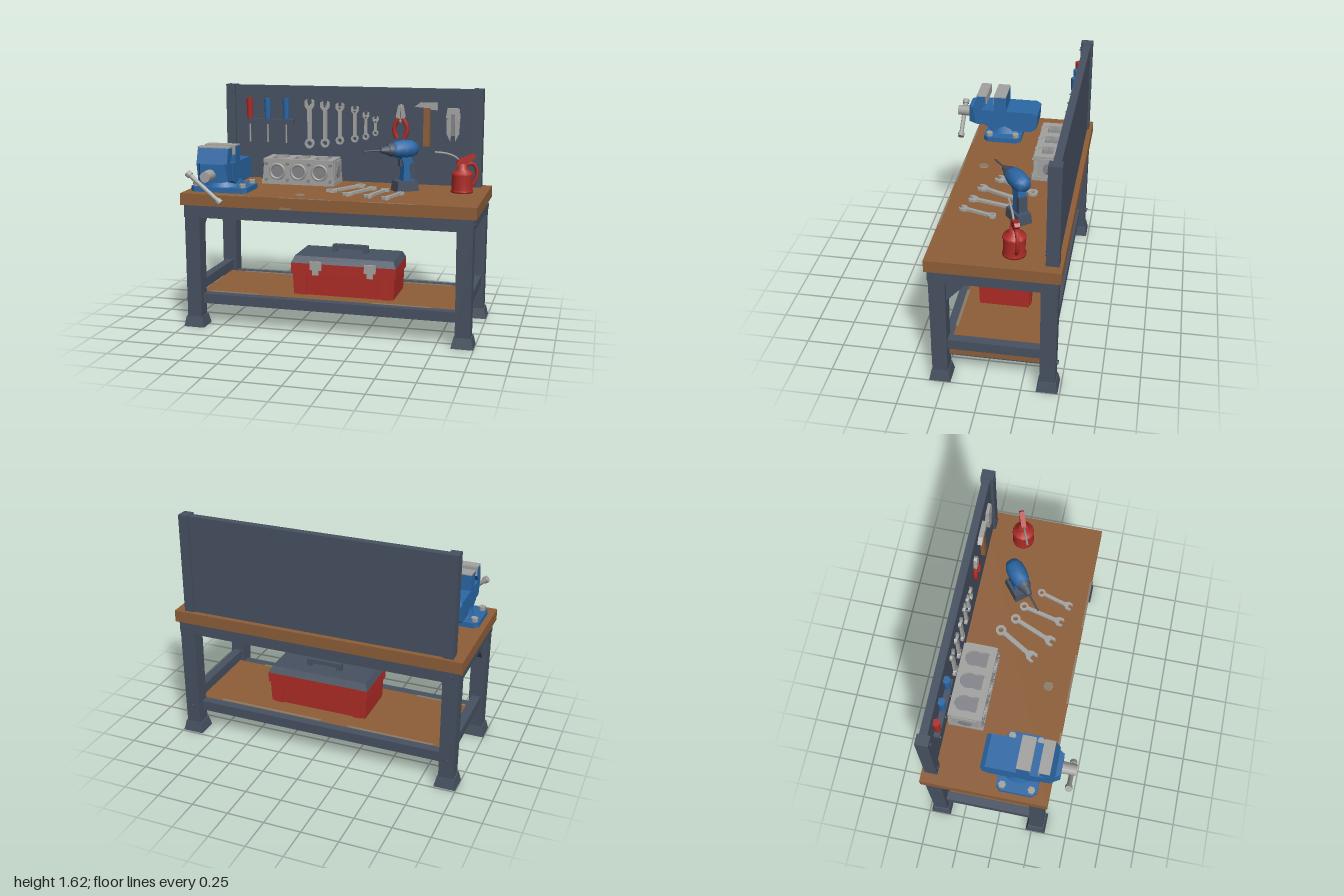
import * as THREE from 'three';

const mat = (name, color) => {
  const m = new THREE.MeshStandardMaterial({ color });
  m.name = name;
  return m;
};

export function createModel() {
  const slate = mat('slate', 0x475161), wood = mat('wood', 0x8e5e38), blue = mat('blue', 0x2b68a6),
    red = mat('red', 0xae2c26), steel = mat('steel', 0xa2a2a0), darkSteel = mat('dark steel', 0x83858a),
    stain = mat('worn wood', 0x8c7a64);
  const root = new THREE.Group();
  root.name = 'workbench';

  const sub = (name, x = 0, y = 0, z = 0, parent = root) => {
    const g = new THREE.Group();
    g.name = name;
    g.position.set(x, y, z);
    parent.add(g);
    return g;
  };
  const add = (p, name, geo, m, x = 0, y = 0, z = 0) => {
    const o = new THREE.Mesh(geo, m);
    o.name = name;
    o.position.set(x, y, z);
    p.add(o);
    return o;
  };
  // box given by its limits; the top can be scaled for a taper
  const box = (p, name, m, x0, x1, y0, y1, z0, z1, tx = 1, tz = tx) => {
    const g = new THREE.BoxGeometry(x1 - x0, y1 - y0, z1 - z0), a = g.attributes.position;
    for (let i = 0; i < a.count; i++) if (a.getY(i) > 0) a.setXYZ(i, a.getX(i) * tx, a.getY(i), a.getZ(i) * tz);
    g.computeVertexNormals();
    return add(p, name, g, m, (x0 + x1) / 2, (y0 + y1) / 2, (z0 + z1) / 2);
  };
  const poly = pts => new THREE.Shape(pts.map(q => new THREE.Vector2(q[0], q[1])));
  const extrude = (shape, depth) =>
    new THREE.ExtrudeGeometry(shape, { depth, bevelEnabled: false, curveSegments: 10 }).translate(0, 0, -depth / 2);
  // side profile in (z, y), extruded along x
  const extrudeX = (pts, w) => extrude(poly(pts), w).rotateY(-Math.PI / 2);
  const cyl = (r0, r1, h, n = 12) => new THREE.CylinderGeometry(r0, r1, h, n);
  const cylZ = (r0, r1, h, n = 12) => cyl(r0, r1, h, n).rotateX(Math.PI / 2);
  const circlePath = (x, y, r) => new THREE.Path().absarc(x, y, r, 0, Math.PI * 2, true);
  const tube = (pts, r, n = 10) =>
    new THREE.TubeGeometry(new THREE.CatmullRomCurve3(pts.map(q => new THREE.Vector3(...q))), n, r, 7);

  // bench: top, apron block, legs, shelf
  const bench = sub('bench');
  box(bench, 'benchTop', wood, -1, 1, 0.855, 0.935, -0.49, 0.35);
  box(bench, 'apron', slate, -0.98, 0.98, 0.77, 0.855, -0.472, 0.335);
  box(bench, 'shelf', wood, -0.91, 0.91, 0.165, 0.225, -0.37, 0.23);
  box(bench, 'shelfUnderside', slate, -0.91, 0.91, 0.158, 0.165, -0.38, 0.24);
  box(bench, 'frontRail', slate, -0.88, 0.88, 0.158, 0.226, 0.225, 0.285);
  box(bench, 'backRail', slate, -0.88, 0.88, 0.158, 0.226, -0.425, -0.365);
  // worn patches on the wood
  add(bench, 'wornPatch', cyl(0.033, 0.036, 0.004, 9), stain, -0.2, 0.936, 0.2);
  box(bench, 'wornFrontFace', stain, -0.3, -0.22, 0.858, 0.872, 0.349, 0.352);
  [[-0.75, -0.5], [-0.3, 0.05], [0.25, 0.6]].forEach(([a, b]) => box(bench, 'wornTopEdge', stain, a, b, 0.934, 0.937, 0.338, 0.351));
  [[-0.85, -0.5, 0.205], [0.3, 0.7, 0.21], [-0.8, -0.2, -0.365], [0, 0.75, -0.36]].forEach(([a, b, z]) =>
    box(bench, 'wornShelfEdge', stain, a, b, 0.224, 0.228, z, z + 0.02));
  for (const s of [-1, 1]) {
    const x = s * 0.925;
    box(bench, 'sideRail', slate, x - 0.03, x + 0.03, 0.24, 0.31, -0.38, 0.24);
    add(bench, 'gusset', extrudeX([[0.24, 0.775], [0.08, 0.775], [0.24, 0.6]], 0.05), slate, x, 0, 0);
    for (const z of [0.278, -0.417]) {
      const f = Math.sign(z);
      box(bench, 'leg', slate, x - 0.05, x + 0.05, 0.05, 0.85, z - 0.05, z + 0.05, 1.06);
      box(bench, 'foot', slate, x - 0.073, x + 0.073, 0, 0.07, z - 0.07, z + 0.07, 0.8);
      for (const y of [0.2, 0.81]) add(bench, 'bolt', cylZ(0.014, 0.014, 0.014, 6), slate, x, y, z + f * 0.057);
      add(bench, 'sideBolt', cyl(0.014, 0.014, 0.014, 6).rotateZ(Math.PI / 2), slate, x + s * 0.056, 0.81, z);
    }
    // back panel posts
    box(bench, 'panelPost', slate, s * 0.9 - 0.034, s * 0.9 + 0.034, 0.935, 1.615, -0.468, -0.385);
    for (const y of [1.0, 1.56]) add(bench, 'postBolt', cylZ(0.014, 0.014, 0.012, 6), slate, s * 0.9, y, -0.382);
  }
  box(bench, 'backPanel', slate, -0.87, 0.87, 0.935, 1.61, -0.455, -0.405);

  // toolbox on the shelf
  const tb = sub('toolbox', 0.077, 0.225, -0.047);
  box(tb, 'toolboxBody', red, -0.35, 0.35, 0, 0.16, -0.17, 0.165, 1.02);
  box(tb, 'toolboxRim', red, -0.366, 0.366, 0.15, 0.222, -0.185, 0.18);
  box(tb, 'toolboxLid', slate, -0.366, 0.366, 0.222, 0.268, -0.185, 0.18, 0.94, 0.86);
  for (const s of [-1, 1]) {
    box(tb, 'handlePost', slate, s * 0.11 - 0.018, s * 0.11 + 0.018, 0.26, 0.315, -0.065, -0.022, 0.9);
    box(tb, 'latch', steel, s * 0.19 - 0.04, s * 0.19 + 0.04, 0.18, 0.238, 0.165, 0.192);
    box(tb, 'latchClip', steel, s * 0.19 - 0.022, s * 0.19 + 0.022, 0.145, 0.19, 0.17, 0.192);
    for (const z of [-0.172, 0.167]) box(tb, 'cornerRib', red, s * 0.29 - 0.03, s * 0.29 + 0.03, 0, 0.16, z - 0.008, z + 0.008);
  }
  box(tb, 'handleGrip', slate, -0.122, 0.122, 0.29, 0.318, -0.064, -0.026, 0.92);

  // bench vise
  const vise = sub('vise', -0.76, 0, 0);
  const plate = [[-0.2, 0.03], [-0.17, 0], [0.17, 0], [0.2, 0.03], [0.2, 0.24], [0.17, 0.27], [-0.17, 0.27], [-0.2, 0.24]];
  add(vise, 'visePlate', extrude(poly(plate), 0.035).rotateX(Math.PI / 2), blue, 0, 0.953, 0);
  add(vise, 'viseSwivel', cyl(0.105, 0.14, 0.075, 16), blue, 0, 0.995, 0.13);
  add(vise, 'viseBody', extrudeX([[0.27, 1.02], [0.27, 1.14], [0.205, 1.14], [0.205, 1.246], [0.12, 1.246], [0.12, 1.14],
    [-0.08, 1.14], [-0.11, 1.12], [-0.105, 1.02], [-0.06, 0.99], [0.2, 0.99]], 0.22), blue);
  add(vise, 'frontJaw', extrudeX([[0.25, 1.025], [0.34, 1.025], [0.365, 1.145], [0.333, 1.246], [0.265, 1.246],
    [0.265, 1.19], [0.305, 1.14], [0.25, 1.14]], 0.215), blue);
  const nose = [[-0.107, 0.3], [0.107, 0.3], [0.107, 0.335], [0.07, 0.397], [-0.07, 0.397], [-0.107, 0.335]];
  add(vise, 'jawNose', extrude(poly(nose), 0.12).rotateX(Math.PI / 2), blue, 0, 1.085, 0);
  [[0.12, 0.205, 0.206], [0.265, 0.333, 0.264]].forEach(([a, b, f]) => {
    box(vise, 'jawTopPlate', steel, -0.11, 0.11, 1.245, 1.254, a, b);
    box(vise, 'jawGrip', steel, -0.109, 0.109, 1.19, 1.25, f - 0.004, f + 0.004);
  });
  for (const x of [-0.165, 0.165]) for (const z of [0.04, 0.23])
    add(vise, 'viseBolt', cyl(0.025, 0.025, 0.03, 6), steel, x, 0.98, z);
  add(vise, 'screwHead', cylZ(0.036, 0.04, 0.1, 10), steel, 0, 1.075, 0.44);
  const bar = sub('viseHandle', -0.02, 1.0, 0.46, vise);
  bar.rotation.z = 0.87;
  add(bar, 'handleBar', cyl(0.016, 0.016, 0.28, 8), steel);
  for (const y of [-0.135, 0.135]) add(bar, 'handleKnob', cyl(0.024, 0.024, 0.03, 8), steel, 0, y, 0);

  // engine block
  const eng = sub('engineBlock', -0.325, 0.935, -0.275);
  const bores = [-0.155, 0, 0.155];
  box(eng, 'blockCore', darkSteel, -0.25, 0.25, 0, 0.15, -0.105, 0.075);
  const front = poly([[-0.265, 0], [0.265, 0], [0.25, 0.175], [-0.25, 0.175]]);
  bores.forEach(x => front.holes.push(circlePath(x, 0.09, 0.052)));
  add(eng, 'blockFront', extrude(front, 0.045), steel, 0, 0, 0.085);
  add(eng, 'blockBack', extrude(front, 0.03), steel, 0, 0, -0.1);
  const deck = poly([[-0.255, -0.11], [0.255, -0.11], [0.255, 0.1], [-0.255, 0.1]]);
  // waisted openings, two round lobes each
  const opening = x => new THREE.Path(Array.from({ length: 24 }, (_, i) => {
    const t = i / 24 * Math.PI * 2, r = 0.066 + 0.024 * Math.cos(2 * t);
    return new THREE.Vector2(x + r * Math.sin(t) * 1.12, r * Math.cos(t) - 0.003);
  }));
  bores.forEach(x => deck.holes.push(opening(x)));
  add(eng, 'blockDeck', extrude(deck, 0.03).rotateX(-Math.PI / 2), steel, 0, 0.165, 0);
  box(eng, 'blockFoot', steel, -0.265, 0.265, 0, 0.03, -0.11, 0.118);
  for (const s of [-1, 1]) {
    box(eng, 'blockEnd', steel, s * 0.25 - 0.012, s * 0.25 + 0.012, 0.01, 0.165, -0.09, 0.08);
    add(eng, 'endBoss', cyl(0.045, 0.045, 0.02, 12).rotateZ(Math.PI / 2), darkSteel, s * 0.257, 0.09, 0);
  }
  bores.forEach(x => add(eng, 'boreRing', new THREE.TorusGeometry(0.052, 0.01, 6, 16), steel, x, 0.09, 0.108));
  for (const x of [-0.235, -0.078, 0.078, 0.235]) for (const y of [0.03, 0.145])
    add(eng, 'blockStud', cylZ(0.013, 0.013, 0.02, 6), darkSteel, x, y, 0.112);

  // combination wrench along y: ring at the bottom, open jaw at the top
  const wrench = (len, r) => {
    const h = len / 2, w = r * 0.42;
    const ring = new THREE.Shape().absarc(0, -h + r, r, 0, Math.PI * 2);
    ring.holes.push(circlePath(0, -h + r, r * 0.5));
    const shaft = poly([[-w, -h + 1.8 * r], [w, -h + 1.8 * r], [w, h - 1.7 * r], [-w, h - 1.7 * r]]);
    const jaw = poly([[-w, h - 2.2 * r], [w, h - 2.2 * r], [r, h - 1.4 * r], [r, h - 0.4 * r], [0.5 * r, h],
      [0.42 * r, h - r], [-0.42 * r, h - r], [-0.5 * r, h], [-r, h - 0.4 * r], [-r, h - 1.4 * r]]);
    return extrude([ring, shaft, jaw], 0.018);
  };
  [[0.14, -0.22, -0.04, 0.08], [0.235, -0.14, 0.1, 0.18], [0.33, -0.1, 0.255, 0.215], [0.455, 0.0, 0.38, 0.25]].forEach(([x0, z0, x1, z1], i) => {
    const o = add(root, 'benchWrench', wrench(Math.hypot(x1 - x0, z1 - z0), 0.036 - i * 0.003), steel, (x0 + x1) / 2, 0.945, (z0 + z1) / 2);
    o.rotation.set(-Math.PI / 2, 0, Math.atan2(x0 - x1, z0 - z1));
  });

  // tools hung on the panel
  const hung = sub('hungTools', 0, 0, -0.392);
  [[-0.305, 1.165, 1.52], [-0.19, 1.175, 1.51], [-0.08, 1.2, 1.5], [0.03, 1.22, 1.48], [0.11, 1.24, 1.44], [0.18, 1.27, 1.41]].forEach(([x, a, b], i) => {
    add(hung, 'hungWrench', wrench(b - a, 0.036 - i * 0.003), steel, x, (a + b) / 2, 0);
    add(hung, 'hook', cylZ(0.006, 0.006, 0.04, 6), slate, x, b - 0.04, 0);
  });
  box(hung, 'screwdriverRack', slate, -0.8, -0.42, 1.335, 1.37, -0.015, 0.025);
  [[-0.755, red], [-0.62, blue], [-0.48, blue]].forEach(([x, m]) => {
    add(hung, 'screwdriverHandle', cyl(0.026, 0.02, 0.15, 8), m, x, 1.445, 0.005);
    add(hung, 'screwdriverBlade', cyl(0.007, 0.007, 0.17, 6), steel, x, 1.285, 0.005);
  });
  for (const s of [-1, 1]) {
    add(hung, 'plierJaw', extrude(poly([[0, 1.5], [s * 0.018, 1.49], [s * 0.034, 1.41], [0, 1.37], [s * 0.004, 1.42]]), 0.022), steel, 0.36, 0, 0);
    add(hung, 'plierHandle', tube([[s * 0.012, 1.4, 0], [s * 0.042, 1.35, 0], [s * 0.043, 1.3, 0], [s * 0.026, 1.26, 0]], 0.016), red, 0.36, 0, 0);
    add(hung, 'stripperArm', extrude(poly([[s * 0.01, 1.42], [s * 0.047, 1.4], [s * 0.042, 1.3], [s * 0.018, 1.25]]), 0.025), steel, 0.73, 0, 0);
  }
  box(hung, 'stripperHead', steel, 0.68, 0.78, 1.41, 1.48, -0.012, 0.014, 0.8);
  box(hung, 'stripperBlade', darkSteel, 0.717, 0.743, 1.29, 1.44, -0.01, 0.018);
  box(hung, 'hammerHandle', wood, 0.522, 0.57, 1.21, 1.48, -0.012, 0.016, 0.92);
  add(hung, 'hammerHead', extrude(poly([[0.46, 1.485], [0.5, 1.515], [0.62, 1.515], [0.62, 1.465], [0.58, 1.465], [0.565, 1.48], [0.53, 1.48]]), 0.035), steel);

  // cordless drill, nose along its own +z
  const drill = sub('drill', 0.43, 0.935, -0.135);
  drill.rotation.y = -0.9;
  const prof = [[0, -0.105], [0.04, -0.1], [0.06, -0.06], [0.064, 0], [0.055, 0.06], [0.04, 0.09], [0, 0.09]];
  add(drill, 'drillBody', new THREE.LatheGeometry(prof.map(q => new THREE.Vector2(...q)), 10).rotateX(Math.PI / 2), blue, 0, 0.285, 0);
  add(drill, 'drillCollar', cylZ(0.038, 0.048, 0.03, 10), slate, 0, 0.285, 0.1);
  add(drill, 'drillChuck', cylZ(0.018, 0.034, 0.06, 10), slate, 0, 0.285, 0.14);
  add(drill, 'drillBit', cylZ(0.005, 0.007, 0.13, 6), slate, 0, 0.285, 0.23);
  add(drill, 'drillHandle', extrudeX([[-0.055, 0.25], [0.03, 0.25], [0.005, 0.17], [0.01, 0.06], [-0.075, 0.06], [-0.065, 0.17]], 0.058), blue);
  box(drill, 'drillGrip', slate, -0.031, 0.031, 0.08, 0.19, -0.074, -0.045);
  box(drill, 'drillTrigger', slate, -0.014, 0.014, 0.17, 0.22, 0, 0.03);
  box(drill, 'drillBattery', slate, -0.052, 0.052, 0, 0.07, -0.1, 0.065, 0.9);

  // oil can
  const can = sub('oilCan', 0.83, 0.935, -0.18);
  can.rotation.y = 0.35;
  const canProf = [[0, 0], [0.075, 0], [0.075, 0.012], [0.07, 0.02], [0.07, 0.115], [0.075, 0.12], [0.07, 0.135], [0.034, 0.16], [0.028, 0.195], [0, 0.195]];
  add(can, 'canBody', new THREE.LatheGeometry(canProf.map(q => new THREE.Vector2(...q)), 14), red);
  add(can, 'canSpout', tube([[0, 0.185, 0], [-0.04, 0.235, 0], [-0.11, 0.265, 0], [-0.19, 0.275, 0]], 0.007), steel);
  add(can, 'canLever', extrude(poly([[-0.045, 0.19], [-0.03, 0.225], [0.075, 0.262], [0.092, 0.245], [0.03, 0.19]]), 0.034), red);
  add(can, 'canHandle', tube([[0.01, 0.18, 0], [0.07, 0.195, 0], [0.1, 0.15, 0], [0.092, 0.08, 0], [0.065, 0.04, 0]], 0.013), red);

  return root;
}
